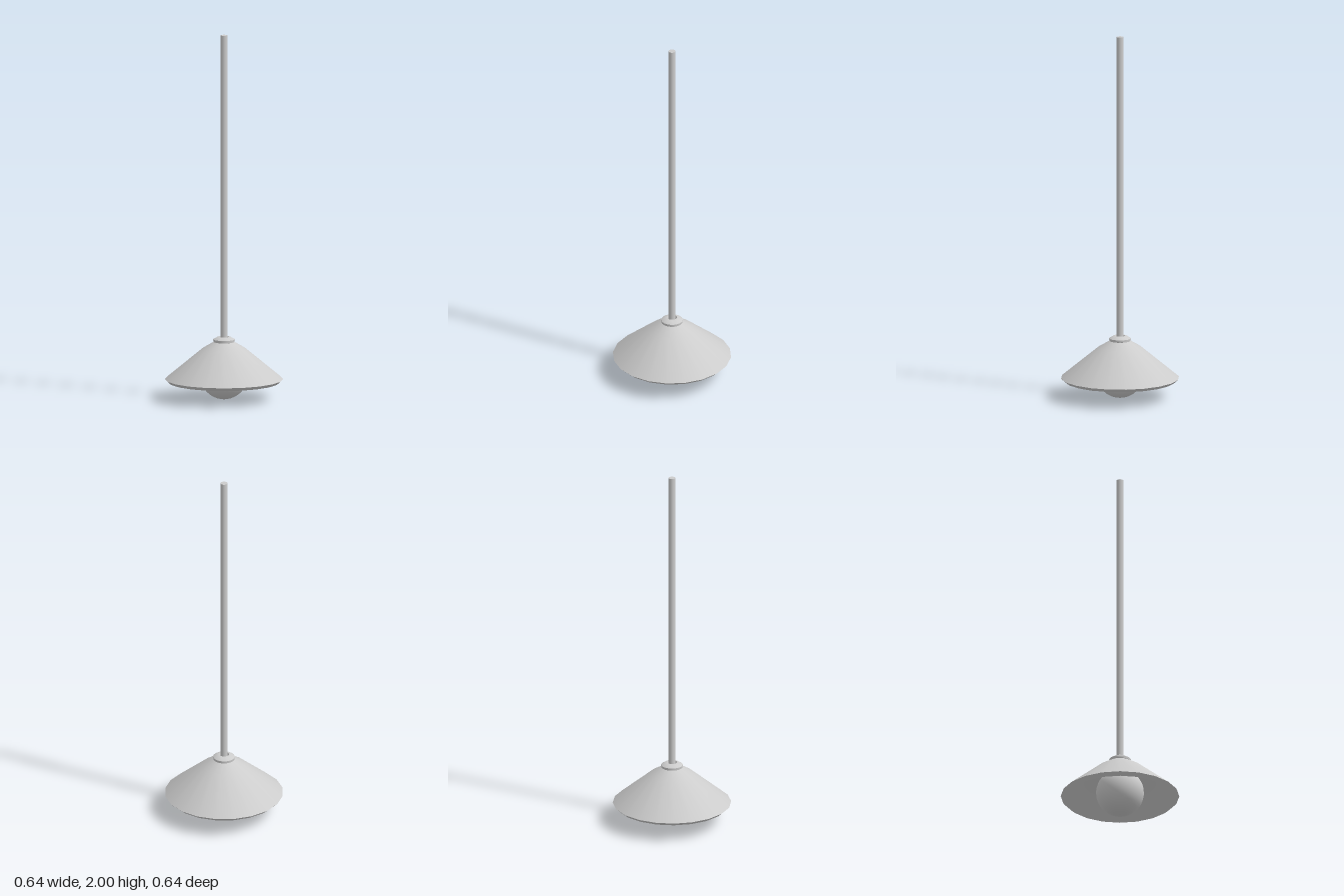
import * as THREE from 'three';
import { toCreasedNormals } from 'three/addons/utils/BufferGeometryUtils.js';

const grey = new THREE.MeshStandardMaterial({ color: 0xcccccc });

export function createModel() {
  const lamp = new THREE.Group();
  lamp.name = 'pendantLamp';

  const add = (name, geometry, y = 0) => {
    const mesh = new THREE.Mesh(geometry, grey);
    mesh.name = name;
    mesh.position.y = y;
    lamp.add(mesh);
  };
  const turned = (profile, sides) => toCreasedNormals(
    new THREE.LatheGeometry(profile.map(([r, y]) => new THREE.Vector2(r, y)), sides), 0.6);

  // Conical shade: inner wall down, bevelled lip, outer wall up
  add('shade', turned([
    [0.045, 0.302], [0.11, 0.265], [0.302, 0.092],
    [0.322, 0.11], [0.118, 0.278], [0.05, 0.318],
  ], 20));

  // Collar with a bevelled top and a recess around the rod
  add('collar', turned([
    [0.018, 0.302], [0.046, 0.31], [0.058, 0.315], [0.059, 0.328],
    [0.038, 0.341], [0.027, 0.342], [0.019, 0.325],
  ], 32));

  // Hanging rod
  add('rod', new THREE.CylinderGeometry(0.019, 0.019, 1.69, 16), 1.155);

  // Socket and round bulb under the shade
  add('socket', new THREE.CylinderGeometry(0.04, 0.04, 0.065, 20), 0.275);
  add('bulb', new THREE.SphereGeometry(0.13, 32, 20), 0.13);

  return lamp;
}
